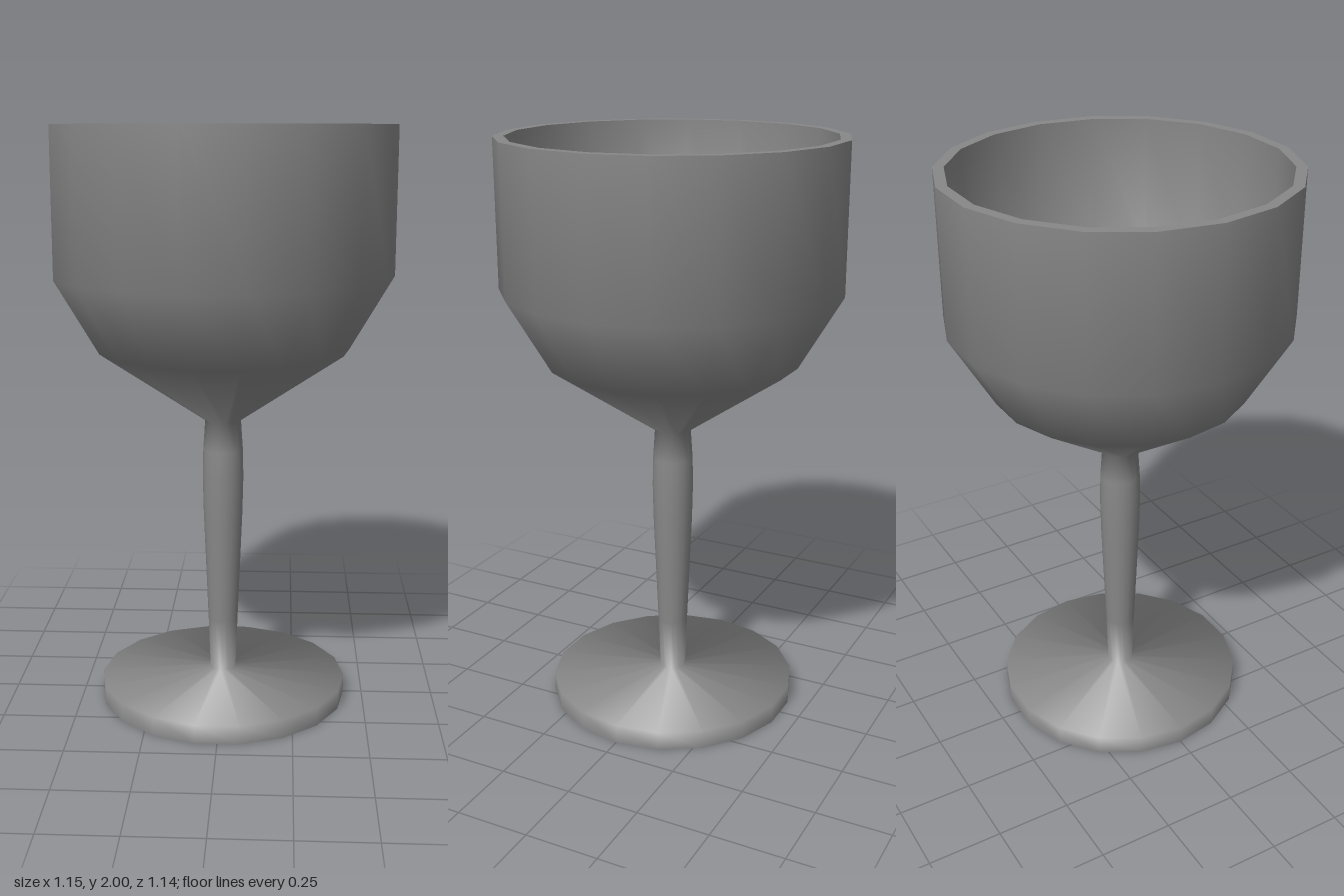
import * as THREE from 'three';

const SIDES = 18;
const START = Math.PI / 2; // a corner of the polygon sits on the x axis
const material = new THREE.MeshStandardMaterial({ color: 0x888888 });

// Turns a profile of [radius, height] points and smooths it evenly:
// each normal halves the angle between the two neighbouring faces
function turned(name, profile) {
  const points = profile.map(([r, y]) => new THREE.Vector2(r, y));
  const geometry = new THREE.LatheGeometry(points, SIDES, START);

  const faces = points.slice(1).map((p, i) =>
    new THREE.Vector2(p.y - points[i].y, points[i].x - p.x).normalize());
  const normals = points.map((_, i) =>
    (faces[i - 1] ?? faces[i]).clone().add(faces[i] ?? faces[i - 1]).normalize());

  for (let s = 0; s <= SIDES; s++) {
    const angle = START + (s / SIDES) * Math.PI * 2;
    normals.forEach((n, i) => geometry.attributes.normal.setXYZ(
      s * points.length + i, n.x * Math.sin(angle), n.y, n.x * Math.cos(angle)));
  }

  const mesh = new THREE.Mesh(geometry, material);
  mesh.name = name;
  return mesh;
}

export function createModel() {
  const goblet = new THREE.Group();
  goblet.name = 'goblet';

  goblet.add(
    // Flat underside with a sharp edge
    turned('footUnderside', [[0, 0], [0.434, 0]]),

    // Foot, swollen stem and bowl flow together as one smooth skin
    turned('outerBody', [
      [0.434, 0], [0.434, 0.065], // foot edge
      [0.045, 0.092], [0.052, 0.28], [0.061, 0.5], [0.068, 0.67], // stem
      [0.071, 0.8], [0.069, 0.9], [0.062, 1.005],
      [0.43, 1.255], [0.577, 1.505], [0.577, 2], // bowl
    ]),

    // Flat rim
    turned('rim', [[0.577, 2], [0.541, 2]]),

    // Inside of the bowl, running on into a narrow bore in the stem
    turned('innerBody', [
      [0.541, 2], [0.541, 1.515], [0.405, 1.283], [0.035, 1.03],
      [0.034, 0.8], [0.023, 0.1],
    ]),
    turned('boreFloor', [[0.023, 0.1], [0, 0.1]]),
  );
  return goblet;
}
